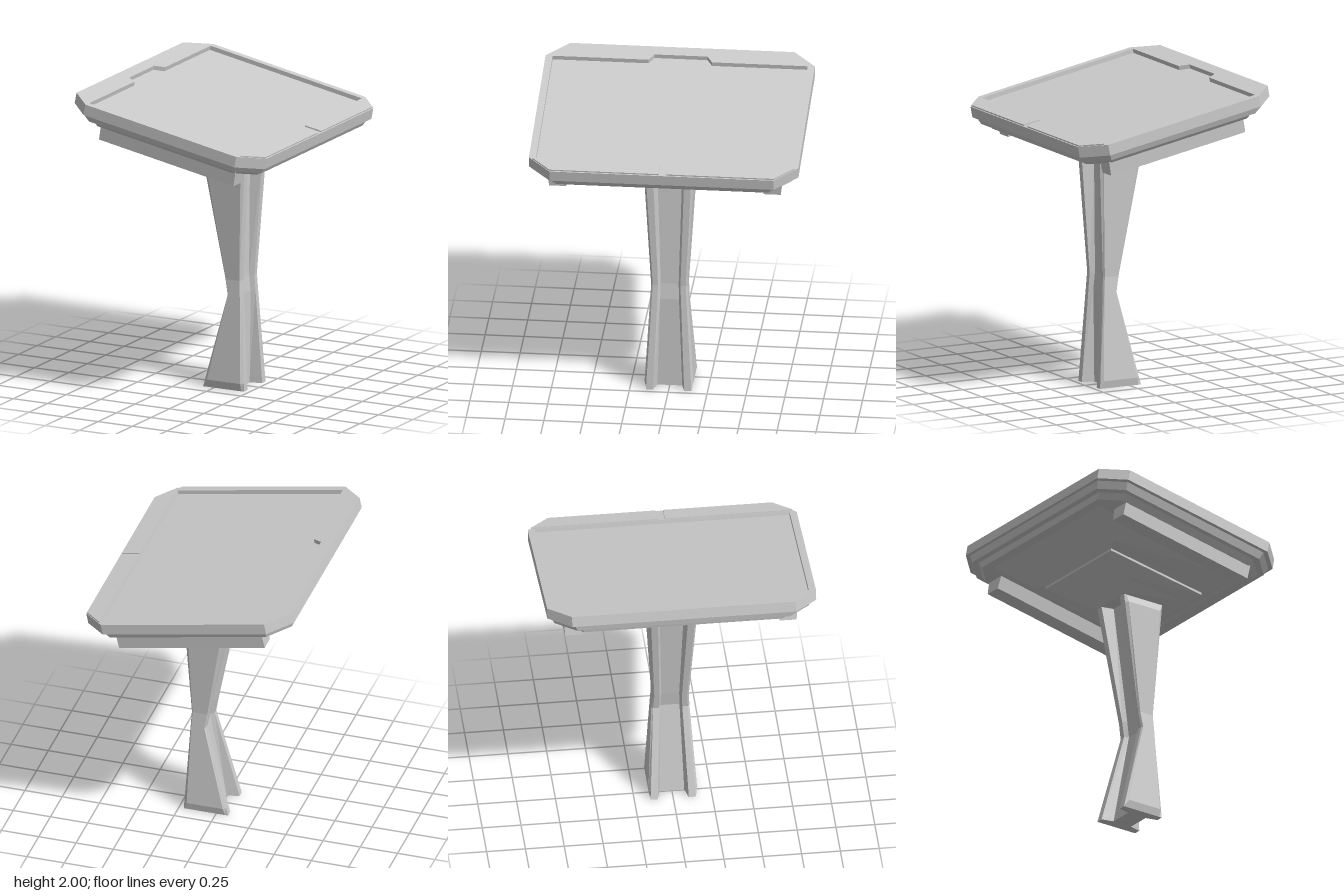
import * as THREE from 'three';

const material = new THREE.MeshStandardMaterial({ color: 0xcccccc, flatShading: true });

// Faceted solid through rings of [x, y, z], listed bottom to top, each counter-clockwise from above
function loft(name, rings) {
  const pos = [];
  const tri = (a, b, c) => pos.push(...a, ...b, ...c);
  for (let k = 0; k < rings.length - 1; k++) {
    const lo = rings[k], hi = rings[k + 1];
    lo.forEach((p, i) => {
      const j = (i + 1) % lo.length;
      tri(p, lo[j], hi[j]);
      tri(p, hi[j], hi[i]);
    });
  }
  const cap = (ring, up) => {
    const faces = THREE.ShapeUtils.triangulateShape(ring.map(p => new THREE.Vector2(p[0], -p[2])), []);
    for (const [a, b, c] of faces) up ? tri(ring[a], ring[b], ring[c]) : tri(ring[a], ring[c], ring[b]);
  };
  cap(rings[0], false);
  cap(rings[rings.length - 1], true);
  const geo = new THREE.BufferGeometry();
  geo.setAttribute('position', new THREE.Float32BufferAttribute(pos, 3));
  geo.computeVertexNormals();
  const mesh = new THREE.Mesh(geo, material);
  mesh.name = name;
  return mesh;
}

// Chamfered rectangle
const octagon = (x, y, z, c) => [
  [x, y, z - c], [x, y, c - z], [x - c, y, -z], [c - x, y, -z],
  [-x, y, c - z], [-x, y, z - c], [c - x, y, z], [x - c, y, z],
];

// Rectangle whose height runs from yl at xl to yr at xr
const rect = (xl, yl, xr, yr, z0, z1) => [[xr, yr, z1], [xr, yr, z0], [xl, yl, z0], [xl, yl, z1]];

// Piecewise linear lookup in [y, value] pairs
function at(table, y) {
  let i = 0;
  while (i < table.length - 2 && y > table[i + 1][0]) i++;
  const [[y0, a], [y1, b]] = [table[i], table[i + 1]];
  return a + (b - a) * (y - y0) / (y1 - y0);
}

// Waisted column with an H-shaped section and raised cheeks
function makeColumn() {
  const left = [[0, -0.08], [0.615, 0.08], [1.5, -0.08]];
  const right = [[0, 0.217], [0.72, 0.175], [1.5, 0.22]];
  const edge = [[0, 0.146], [0.72, 0.106], [1.5, 0.146]];
  const face = [[0, 0.146], [0.05, 0.157], [0.72, 0.117], [1.45, 0.157], [1.5, 0.146]];
  const groove = [[0, 0.1], [0.72, 0.072], [1.5, 0.1]];
  const rings = [0, 0.05, 0.615, 0.72, 1.45, 1.5].map(y => {
    const [l, r, e, f, g] = [left, right, edge, face, groove].map(t => at(t, y));
    const b = 0.07 * (r - l), d = 0.27 * (r - l);
    // quarter outlines from the groove floor to the raised cheek
    const rightHalf = [[r - b, f], [r, e], [r, g], [r - d, g * 0.8]];
    const leftHalf = [[l + d, g * 0.8], [l, g], [l, e], [l + b, f]];
    const flip = list => list.map(([x, z]) => [x, -z]).reverse();
    return [...rightHalf, ...flip(rightHalf), ...flip(leftHalf), ...leftHalf].map(([x, z]) => [x, y, z]);
  });
  return loft('column', rings);
}

// Stepped funnel joining the column to the tilted top
function makeFunnel() {
  return loft('supportFunnel', [
    rect(-0.085, 1.5, 0.22, 1.5, -0.155, 0.155),
    rect(-0.2, 1.565, 0.3, 1.512, -0.25, 0.25),
    rect(-0.335, 1.655, 0.375, 1.535, -0.36, 0.36),
    rect(-0.335, 1.67, 0.375, 1.55, -0.36, 0.36),
    rect(-0.37, 1.69, 0.45, 1.565, -0.44, 0.44),
    rect(-0.59, 1.822, 0.53, 1.603, -0.58, 0.58),
  ]);
}

// Tilted tray: stepped underside, recessed panel, ledge strips and side rails
function makeTop() {
  const top = new THREE.Group();
  top.name = 'tiltedTop';
  top.add(
    loft('lowerTier', [octagon(0.62, -0.157, 0.755, 0.12), octagon(0.635, -0.12, 0.785, 0.125)]),
    loft('middleTier', [octagon(0.668, -0.12, 0.82, 0.135), octagon(0.685, -0.07, 0.84, 0.14)]),
    loft('trayBase', [octagon(0.703, -0.072, 0.866, 0.145), octagon(0.703, -0.028, 0.866, 0.145)]),
  );

  // Rim with a notched rectangular opening
  const v2 = ([x, y]) => new THREE.Vector2(x, y);
  const rimShape = new THREE.Shape(octagon(0.703, 0, 0.866, 0.145).map(p => v2([p[0], -p[2]])));
  rimShape.holes.push(new THREE.Path([
    [0.573, -0.82], [-0.555, -0.82], [-0.555, -0.205], [-0.615, -0.17],
    [-0.615, 0.17], [-0.555, 0.205], [-0.555, 0.82], [0.573, 0.82],
  ].map(v2)));
  const rimGeo = new THREE.ExtrudeGeometry(rimShape, { depth: 0.028, bevelEnabled: false });
  rimGeo.rotateX(-Math.PI / 2).translate(0, -0.028, 0);
  const rim = new THREE.Mesh(rimGeo, material);
  rim.name = 'trayRim';
  top.add(rim);

  for (const s of [-1, 1]) {
    // Raised ledge strip, split in the middle
    const inner = s < 0 ? -0.028 : 0.02;
    const strip = y => {
      const ring = [[0.695, y, inner], [0.695, y, s * 0.722], [0.575, y, s * 0.842], [0.575, y, inner]];
      return s < 0 ? ring : ring.reverse();
    };
    top.add(loft('ledgeStrip', [strip(-0.01), strip(0.009)]));

    // Side rail under the tray
    const rail = (y, inZ, outZ) => rect(-0.477, y, 0.518, y, Math.min(s * inZ, s * outZ), Math.max(s * inZ, s * outZ));
    top.add(loft('sideRail', [rail(-0.244, 0.635, 0.745), rail(-0.15, 0.617, 0.752)]));
  }

  top.rotation.z = -0.19;
  top.position.y = 1.866;
  return top;
}

export function createModel() {
  const model = new THREE.Group();
  model.name = 'pedestalStand';
  model.add(makeColumn(), makeFunnel(), makeTop());
  return model;
}
